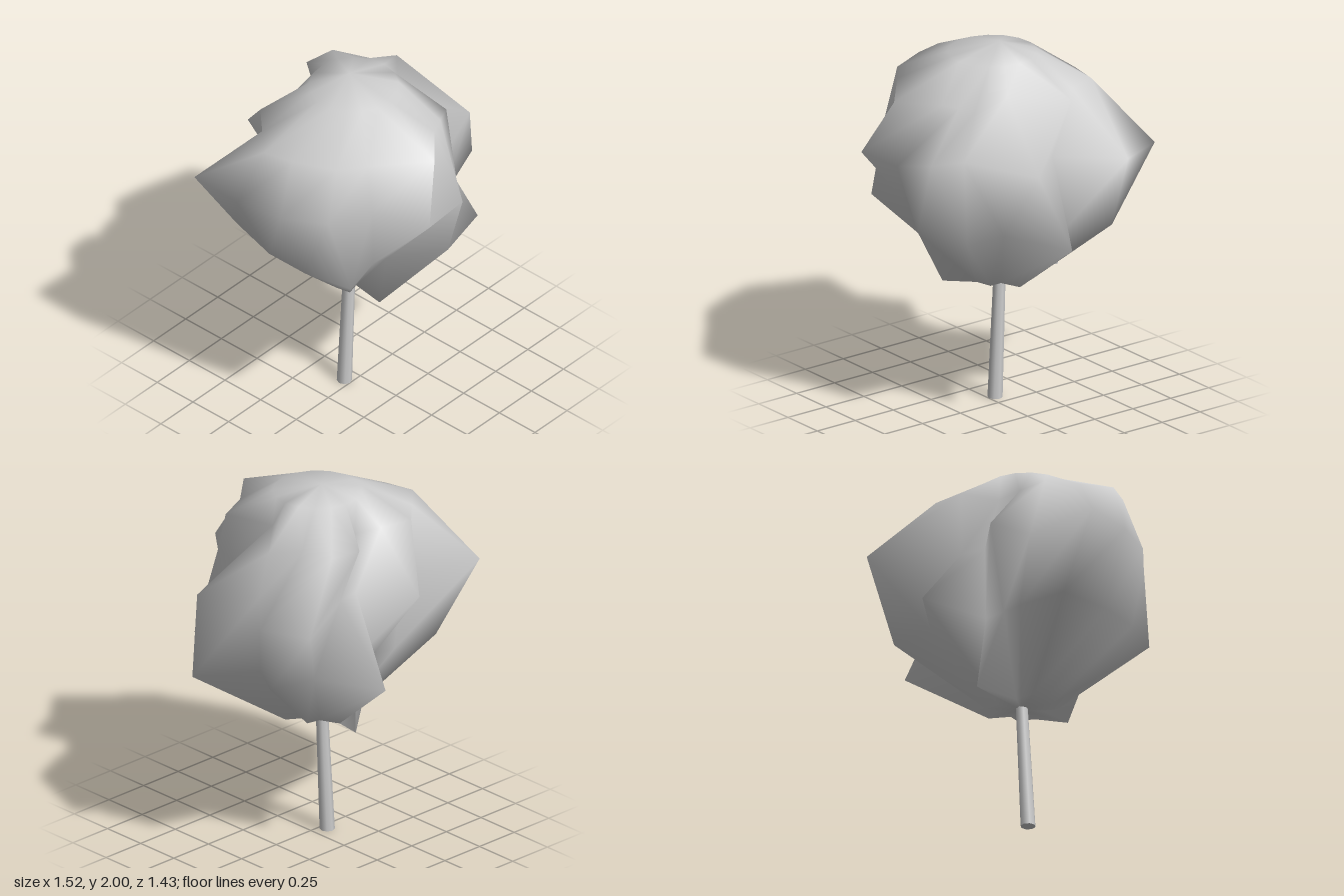
import * as THREE from 'three';

// Foliage cross-sections: 17 [x, z] points each, running from right (+x) through front (+z)
const crown = [
  [.44, -.14], [.19, .09], [.27, .36], [.18, .40], [.09, .44], [-.10, .61], [-.37, .38], [-.50, .28], [-.60, .06],
  [-.64, -.10], [-.51, -.23], [-.38, -.36], [-.20, -.32], [-.05, -.28], [.08, -.45], [.25, -.42], [.30, -.25],
];
const middle = [
  [.41, -.04], [.62, .21], [.20, .38], [.14, .55], [.03, .69], [-.25, .71], [-.35, .40], [-.58, .30], [-.71, .08],
  [-.76, -.18], [-.75, -.49], [-.30, -.38], [-.20, -.61], [0, -.34], [.13, -.36], [.57, -.59], [.68, -.33],
];
const skirt = [
  [.46, -.10], [.76, .10], [.37, .25], [.37, .49], [.05, .57], [-.22, .38], [-.30, .36], [-.54, .42], [-.60, .15],
  [-.60, -.10], [-.52, -.40], [-.24, -.38], [-.12, -.35], [0, -.33], [.15, -.72], [.32, -.36], [.58, -.30],
];
const centre = -0.04;

function foliageGeometry() {
  const n = crown.length;
  // Rounded cap near the top, and a narrow neck with two flared points
  const cap = crown.map((_, i) => {
    const angle = (i / n) * Math.PI * 2;
    return [-0.05 + 0.235 * Math.cos(angle), 0.235 * Math.sin(angle)];
  });
  const neck = skirt.map(([x, z]) => [centre + (x - centre) * 0.28, centre + (z - centre) * 0.28]);
  neck[5] = [-.14, .26];
  neck[13] = [.03, -.37];

  const rings = [[1.95, cap], [1.79, crown], [1.49, middle], [1.10, skirt], [0.70, neck]];
  const positions = [centre, 2, centre];
  for (const [y, ring] of rings) for (const [x, z] of ring) positions.push(x, y, z);
  positions.push(centre, 0.68, centre);
  const last = rings.length * n + 1;
  const index = [];
  for (let i = 0; i < n; i++) {
    const j = (i + 1) % n;
    index.push(0, 1 + j, 1 + i);
    for (let r = 0; r < rings.length - 1; r++) {
      const a = 1 + r * n + i, b = 1 + r * n + j;
      index.push(a, b, b + n, a, b + n, a + n);
    }
    index.push(last, last - n + i, last - n + j);
  }
  const geometry = new THREE.BufferGeometry();
  geometry.setAttribute('position', new THREE.Float32BufferAttribute(positions, 3));
  geometry.setIndex(index);
  geometry.computeVertexNormals();
  return geometry;
}

export function createModel() {
  const group = new THREE.Group();
  group.name = 'tree';
  const grey = new THREE.MeshStandardMaterial({ color: 0xcccccc, side: THREE.DoubleSide });
  grey.name = 'light grey';

  // Crumpled leafy crown
  const foliage = new THREE.Mesh(foliageGeometry(), grey);
  foliage.name = 'foliage';
  group.add(foliage);

  // Slightly leaning trunk, sheared so both ends stay level
  const height = 0.72;
  const trunkGeometry = new THREE.CylinderGeometry(0.032, 0.04, height, 8);
  trunkGeometry.translate(0, height / 2, 0);
  const p = trunkGeometry.attributes.position;
  for (let i = 0; i < p.count; i++) p.setX(i, p.getX(i) + p.getY(i) * 0.055);
  const trunk = new THREE.Mesh(trunkGeometry, grey);
  trunk.name = 'trunk';
  trunk.position.set(-0.08, 0, centre);
  group.add(trunk);
  return group;
}
